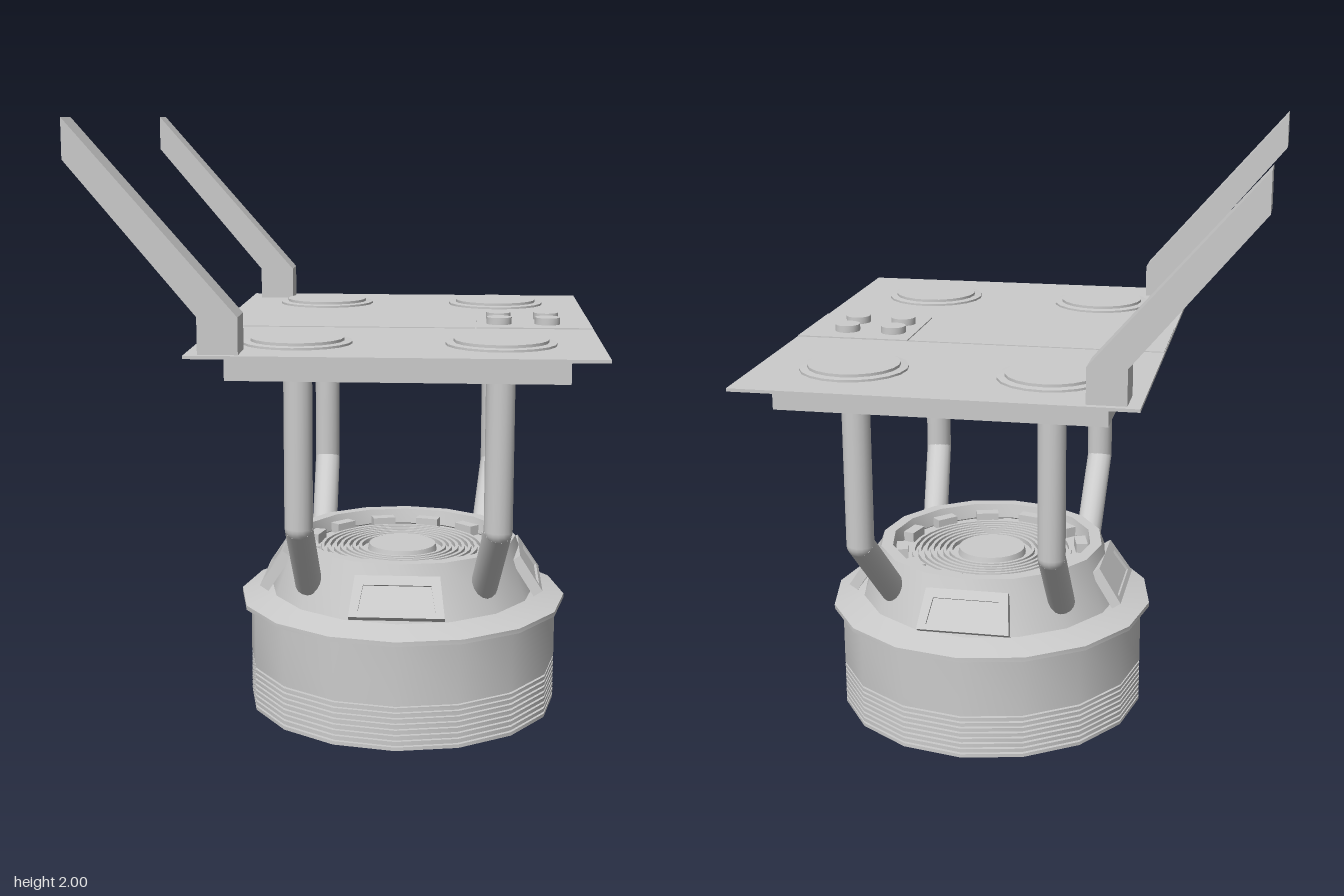
import * as THREE from 'three';
import { toCreasedNormals } from 'three/addons/utils/BufferGeometryUtils.js';

const material = new THREE.MeshStandardMaterial({ color: 0xcccccc, side: THREE.DoubleSide });
const BASE_X = 0.16;

function add(parent, name, geometry, x = 0, y = 0, z = 0) {
  const mesh = new THREE.Mesh(toCreasedNormals(geometry, 0.5), material);
  mesh.name = name;
  mesh.position.set(x, y, z);
  parent.add(mesh);
  return mesh;
}

// box given by its limits on each axis
function slab(parent, name, x0, x1, y0, y1, z0, z1) {
  return add(parent, name, new THREE.BoxGeometry(x1 - x0, y1 - y0, z1 - z0),
    (x0 + x1) / 2, (y0 + y1) / 2, (z0 + z1) / 2);
}

const lathe = (points, sides) =>
  new THREE.LatheGeometry(points.map(([r, y]) => new THREE.Vector2(r, y)), sides);

function polygon(points, Type = THREE.Shape) {
  return new Type(points.map(([x, y]) => new THREE.Vector2(x, y)));
}

function rod(parent, name, a, b, radius) {
  const mesh = add(parent, name, new THREE.CylinderGeometry(radius, radius, a.distanceTo(b), 16));
  mesh.position.copy(a).add(b).multiplyScalar(0.5);
  mesh.quaternion.setFromUnitVectors(new THREE.Vector3(0, 1, 0), b.clone().sub(a).normalize());
}

function createBase() {
  const base = new THREE.Group();
  base.name = 'base';
  base.position.x = BASE_X;

  // drum with grooves at the foot, a flange and a sloping collar
  const profile = [[0.505, 0]];
  for (let i = 0; i < 8; i++) {
    const y = i * 0.019;
    profile.push([0.53, y], [0.53, y + 0.012], [0.518, y + 0.012], [0.518, y + 0.019]);
  }
  profile.push([0.53, 0.152], [0.53, 0.36], [0.56, 0.36], [0.56, 0.375], [0.455, 0.4],
    [0.39, 0.58], [0.35, 0.58], [0.34, 0.53], [0.36, 0.51], [0.43, 0.37], [0.505, 0.35], [0.505, 0]);
  add(base, 'drum', lathe(profile, 16));

  // fan grille inside the collar
  add(base, 'grilleFloor', new THREE.CylinderGeometry(0.355, 0.355, 0.01, 16), 0, 0.52, 0);
  add(base, 'grilleHub', new THREE.CylinderGeometry(0.115, 0.12, 0.025, 24), 0, 0.535, 0);
  for (let i = 0; i < 7; i++) {
    const r = 0.14 + i * 0.022;
    add(base, 'grilleRing', lathe([[r, 0.524], [r + 0.011, 0.524], [r + 0.011, 0.54],
      [r, 0.54], [r, 0.524]], 32));
  }
  for (let i = 0; i < 12; i++) {
    const turn = new THREE.Group();
    turn.name = 'grilleBlock';
    turn.rotation.y = (i + 0.5) * Math.PI / 6;
    slab(turn, 'block', -0.04, 0.04, 0.524, 0.56, 0.295, 0.335);
    base.add(turn);
  }

  // four framed vents leaning on the collar
  const frame = polygon([[-0.155, -0.07], [0.155, -0.07], [0.138, 0.07], [-0.138, 0.07]]);
  frame.holes.push(polygon([[-0.125, -0.052], [-0.11, 0.038], [0.11, 0.038], [0.125, -0.052]], THREE.Path));
  const pane = polygon([[-0.13, -0.06], [0.13, -0.06], [0.115, 0.045], [-0.115, 0.045]]);
  for (let i = 0; i < 4; i++) {
    const turn = new THREE.Group();
    turn.name = 'sideVent';
    turn.rotation.y = i * Math.PI / 2;
    const lean = new THREE.Group();
    lean.name = 'ventPanel';
    lean.position.set(0, 0.4875, 0.441);
    lean.rotation.x = -0.58;
    add(lean, 'ventFrame', new THREE.ExtrudeGeometry(frame, { depth: 0.035, bevelEnabled: false }), 0, 0, -0.035);
    add(lean, 'ventPane', new THREE.ExtrudeGeometry(pane, { depth: 0.025, bevelEnabled: false }), 0, 0, -0.034);
    turn.add(lean);
    base.add(turn);
  }
  return base;
}

function createLeg(x, footX, side) {
  const leg = new THREE.Group();
  leg.name = 'leg';
  const top = new THREE.Vector3(x, 1.24, 0.53 * side);
  const knee = new THREE.Vector3(x, 0.735, 0.53 * side);
  const foot = new THREE.Vector3(footX, 0.48, 0.29 * side);
  rod(leg, 'upperLeg', top, knee, 0.045);
  rod(leg, 'lowerLeg', knee, foot, 0.045);
  add(leg, 'knee', new THREE.SphereGeometry(0.045, 16, 12), knee.x, knee.y, knee.z);
  return leg;
}

function createTop() {
  const top = new THREE.Group();
  top.name = 'cooktop';
  slab(top, 'underBox', -0.345, 0.68, 1.23, 1.312, -0.72, 0.72);
  slab(top, 'topPlate', -0.45, 0.785, 1.31, 1.32, -0.823, 0.823);

  // slightly raised centre strip with a control panel
  slab(top, 'centreStrip', -0.448, 0.4, 1.315, 1.323, -0.167, 0.167);
  slab(top, 'controlPanel', 0.405, 0.783, 1.315, 1.324, -0.167, 0.167);
  for (const x of [0.48, 0.64]) {
    for (const z of [-0.065, 0.065]) {
      add(top, 'knob', new THREE.CylinderGeometry(0.042, 0.042, 0.026, 16), x, 1.334, z);
    }
  }

  // four burners, each a sloped disc
  for (const x of [-0.145, 0.478]) {
    for (const z of [-0.53, 0.53]) {
      add(top, 'burner', lathe([[0, 1.317], [0.17, 1.317], [0.17, 1.327], [0.145, 1.329],
        [0.145, 1.338], [0, 1.338]], 20), x, 0, z);
    }
  }
  return top;
}

export function createModel() {
  const model = new THREE.Group();
  model.name = 'cooktopTable';
  model.add(createBase(), createTop());

  // bent arms rising from one edge
  const armShape = polygon([[-0.41, 1.32], [-0.29, 1.32], [-0.29, 1.43], [-0.79, 2], [-0.79, 1.88], [-0.41, 1.43]]);
  for (const side of [-1, 1]) {
    add(model, 'arm', new THREE.ExtrudeGeometry(armShape, { depth: 0.12, bevelEnabled: false }),
      0, 0, 0.743 * side - 0.06);
    model.add(createLeg(-0.145, -0.138, side), createLeg(0.478, 0.44, side));
  }
  return model;
}
